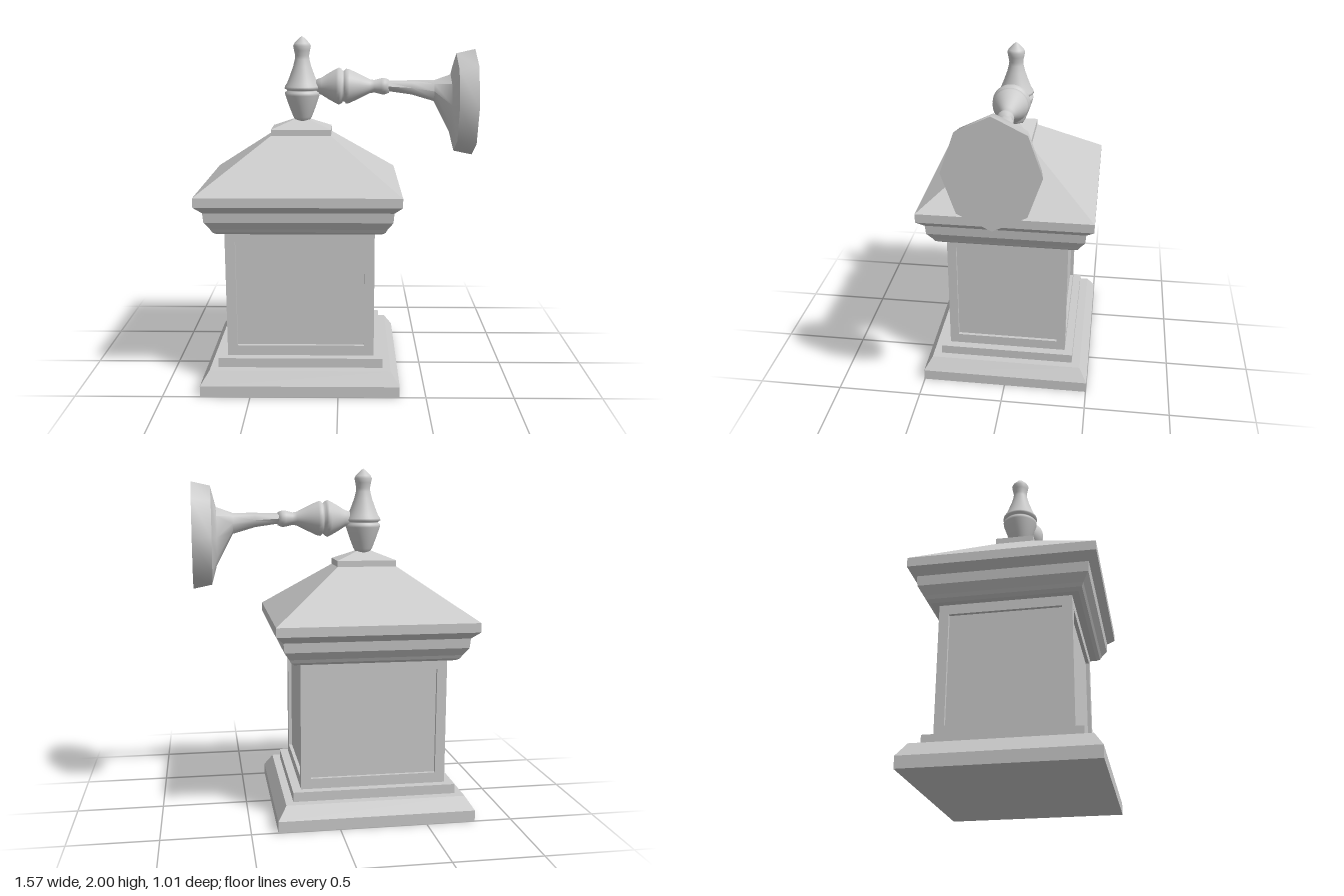
import * as THREE from 'three';
import { toCreasedNormals } from 'three/addons/utils/BufferGeometryUtils.js';

const material = new THREE.MeshStandardMaterial({ color: 0xcccccc, roughness: 0.7 });
const CX = -0.217; // centre of the lantern body

function mesh(name, geometry) {
  const m = new THREE.Mesh(geometry, material);
  m.name = name;
  return m;
}

// Skin a list of rings (counter-clockwise seen from the last ring) and cap both ends.
function loft(rings, crease = 0) {
  const pos = [];
  const tri = (...pts) => pts.forEach((p) => pos.push(...p));
  const n = rings[0].length;
  for (let i = 0; i < rings.length - 1; i++) {
    for (let j = 0; j < n; j++) {
      const k = (j + 1) % n;
      const [a, b, c, d] = [rings[i][j], rings[i][k], rings[i + 1][k], rings[i + 1][j]];
      tri(a, b, c);
      tri(a, c, d);
    }
  }
  const first = rings[0], last = rings[rings.length - 1];
  for (let j = 1; j < n - 1; j++) {
    tri(first[0], first[j + 1], first[j]);
    tri(last[0], last[j], last[j + 1]);
  }
  const g = new THREE.BufferGeometry();
  g.setAttribute('position', new THREE.Float32BufferAttribute(pos, 3));
  g.computeVertexNormals();
  return crease ? toCreasedNormals(g, crease) : g;
}

// Stack of rectangles given as [y, half width, half depth].
function rectStack(name, levels) {
  const corners = [[1, 1], [1, -1], [-1, -1], [-1, 1]];
  const m = mesh(name, loft(levels.map(([y, hx, hz]) => corners.map(([sx, sz]) => [sx * hx, y, sz * hz]))));
  m.position.x = CX;
  return m;
}

function turned(name, profile) {
  return mesh(name, new THREE.LatheGeometry(profile.map(([r, y]) => new THREE.Vector2(r, y)), 32));
}

function rectangle(Type, hw, y0, y1) {
  const s = new Type();
  s.moveTo(-hw, y0);
  s.lineTo(hw, y0);
  s.lineTo(hw, y1);
  s.lineTo(-hw, y1);
  s.closePath();
  return s;
}

export function createModel() {
  const model = new THREE.Group();
  model.name = 'wallLantern';

  // Stepped base
  model.add(rectStack('base', [[0, 0.567, 0.502], [0.065, 0.567, 0.502], [0.14, 0.517, 0.455]]));
  model.add(rectStack('plinth', [[0.14, 0.472, 0.405], [0.195, 0.472, 0.405]]));

  // Body: recessed panes inside four frames
  const HX = 0.422, HZ = 0.357, DEPTH = 0.02;
  model.add(rectStack('panes', [[0.195, HX - DEPTH, HZ - DEPTH], [0.94, HX - DEPTH, HZ - DEPTH]]));
  const frames = [
    ['frontFrame', HX, 0.365, HZ, 0],
    ['leftFrame', HZ - DEPTH, 0.304, HX, Math.PI / 2],
    ['backFrame', HX, 0.365, HZ, Math.PI],
    ['rightFrame', HZ - DEPTH, 0.304, HX, -Math.PI / 2],
  ];
  for (const [name, hw, paneHw, dist, angle] of frames) {
    const shape = rectangle(THREE.Shape, hw, 0.195, 0.94);
    shape.holes.push(rectangle(THREE.Path, paneHw, 0.255, 0.875));
    const g = new THREE.ExtrudeGeometry(shape, { depth: DEPTH, bevelEnabled: false });
    g.translate(0, 0, dist - DEPTH);
    const frame = mesh(name, g);
    frame.rotation.y = angle;
    frame.position.x = CX;
    model.add(frame);
  }

  // Cornice tiers with sloping undersides, and the hipped roof
  model.add(rectStack('corniceAndRoof', [
    [0.93, 0.46, 0.395], [0.945, 0.48, 0.415], [0.965, 0.49, 0.425],
    [1.01, 0.52, 0.455], [1.065, 0.525, 0.46],
    [1.105, 0.568, 0.504], [1.158, 0.568, 0.504],
    [1.44, 0.173, 0.11],
  ]));
  model.add(rectStack('roofCap', [
    [1.43, 0.173, 0.11], [1.475, 0.173, 0.11], [1.525, 0.045, 0.03],
  ]));

  // Turned finial
  const finial = turned('finial', [
    [0, 1.51], [0.04, 1.515], [0.055, 1.54], [0.078, 1.6], [0.1, 1.665], [0.101, 1.68],
    [0.088, 1.69], [0.09, 1.695], [0.103, 1.703], [0.101, 1.715], [0.088, 1.735],
    [0.07, 1.78], [0.052, 1.83], [0.042, 1.87], [0.04, 1.89], [0.046, 1.92],
    [0.051, 1.945], [0.044, 1.96], [0.015, 1.99], [0, 2],
  ]);
  finial.position.x = -0.212;
  model.add(finial);

  // Turned arm, laid along x
  const arm = turned('arm', [
    [0, -0.15], [0.035, -0.14], [0.05, -0.1], [0.075, -0.06], [0.1, -0.015], [0.107, 0],
    [0.1, 0.014], [0.088, 0.024], [0.09, 0.032], [0.101, 0.042], [0.098, 0.06],
    [0.07, 0.12], [0.04, 0.18], [0.036, 0.205], [0.046, 0.245], [0.048, 0.265],
    [0.038, 0.29], [0, 0.3],
  ]);
  arm.rotation.z = -Math.PI / 2;
  arm.position.y = 1.715;
  model.add(arm);

  // Octagonal wall mount flaring from the neck: [x, centre y, half height, half depth]
  const sections = [
    [0.285, 1.717, 0.03, 0.046], [0.42, 1.709, 0.041, 0.048], [0.55, 1.69, 0.06, 0.05],
    [0.645, 1.617, 0.167, 0.135], [0.675, 1.621, 0.283, 0.236], [0.783, 1.622, 0.306, 0.253],
  ];
  model.add(mesh('wallMount', loft(sections.map(([x, cy, ry, rz]) =>
    Array.from({ length: 8 }, (_, i) => {
      const a = (i * Math.PI) / 4;
      return [x, cy + ry * Math.cos(a), rz * Math.sin(a)];
    })), 0.95)));

  return model;
}
